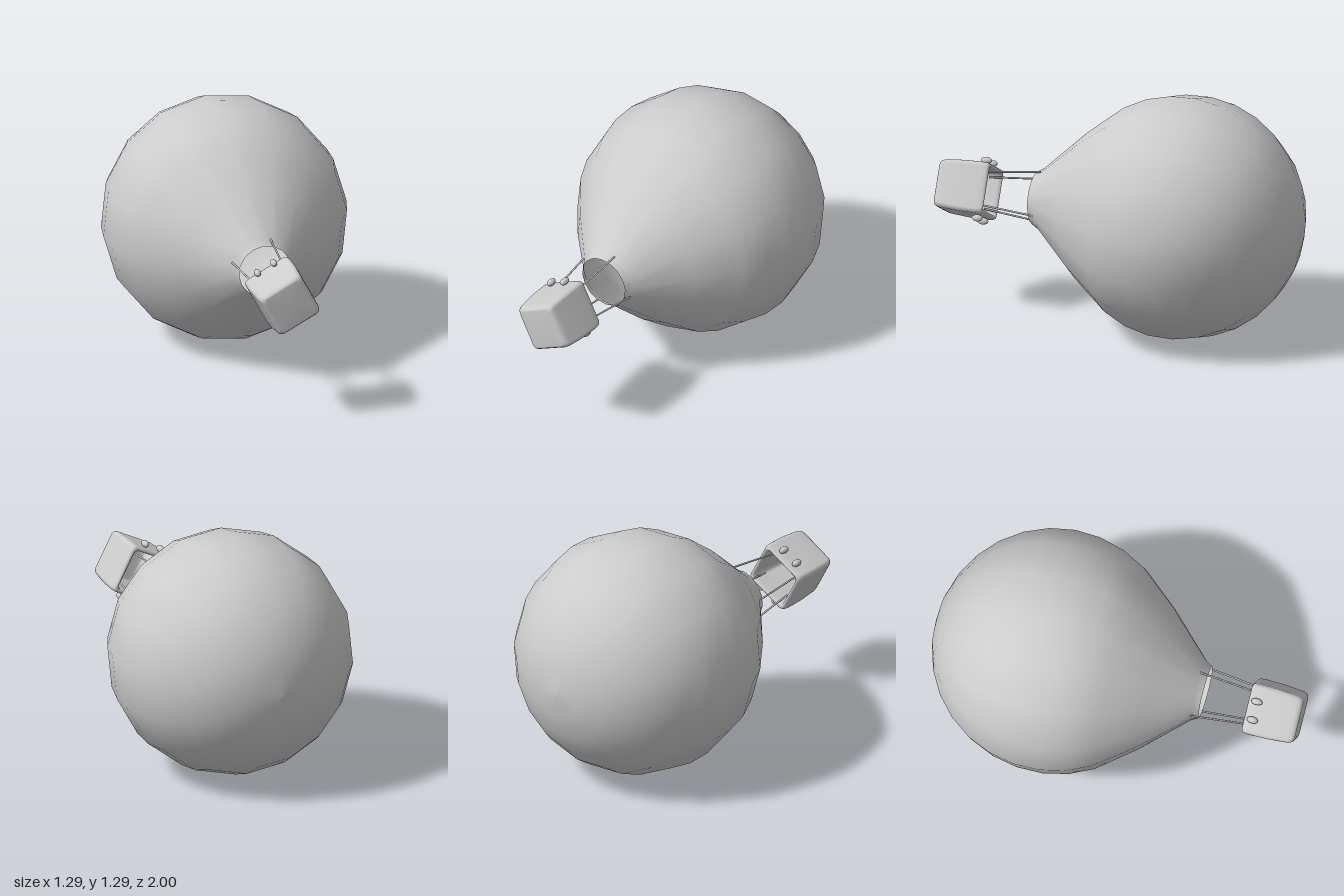
import * as THREE from 'three';

const grey = new THREE.MeshStandardMaterial({ color: 0xcccccc, side: THREE.DoubleSide });

function addMesh(parent, name, geometry) {
  const mesh = new THREE.Mesh(geometry, grey);
  mesh.name = name;
  parent.add(mesh);
  return mesh;
}

// Rounded square ring, counter-clockwise about +z
function squareRing(z, half) {
  const c = Math.min(0.024, half * 0.5), steps = 4, ring = [];
  for (let q = 0; q < 4; q++) {
    const mid = Math.PI / 4 + q * Math.PI / 2;
    const cx = Math.sign(Math.cos(mid)) * (half - c);
    const cy = Math.sign(Math.sin(mid)) * (half - c);
    for (let s = 0; s <= steps; s++) {
      const a = (q + s / steps) * Math.PI / 2;
      ring.push([cx + c * Math.cos(a), cy + c * Math.sin(a), z]);
    }
  }
  return ring;
}

// Skin a list of rings of equal length
function loft(rings) {
  const n = rings[0].length, index = [];
  for (let k = 0; k < rings.length - 1; k++) {
    for (let i = 0; i < n; i++) {
      const p = k * n + i, p2 = k * n + (i + 1) % n;
      index.push(p, p + n, p2, p2, p + n, p2 + n);
    }
  }
  const g = new THREE.BufferGeometry();
  g.setAttribute('position', new THREE.Float32BufferAttribute(rings.flat(2), 3));
  g.setIndex(index);
  g.computeVertexNormals();
  return g;
}

// Sixteen-sided envelope: spherical crown running into a cone and an open mouth
function envelopeGeometry() {
  const R = 0.652, centre = -0.348, profile = [];
  const last = Math.PI / 2 + Math.asin(-centre / R);
  for (let i = 0; i <= 10; i++) {
    const a = last * i / 10;
    profile.push(new THREE.Vector2(R * Math.sin(a), centre - R * Math.cos(a)));
  }
  for (const [r, z] of [[0.39, 0.2], [0.165, 0.435], [0.142, 0.475]]) {
    profile.push(new THREE.Vector2(r, z));
  }
  const g = new THREE.LatheGeometry(profile, 16);
  g.rotateX(Math.PI / 2);
  g.rotateZ(0.0925);
  // Drift the mouth slightly towards the basket axis
  const pos = g.attributes.position;
  for (let i = 0; i < pos.count; i++) {
    const t = Math.max(0, (pos.getZ(i) - centre) / 0.82);
    pos.setX(i, pos.getX(i) - 0.012 * t);
    pos.setY(i, pos.getY(i) + 0.006 * t);
  }
  return g;
}

export function createModel() {
  const model = new THREE.Group();
  model.name = 'hotAirBalloon';
  const body = new THREE.Group();
  body.name = 'balloon';
  body.position.y = 0.652;
  model.add(body);

  addMesh(body, 'envelope', envelopeGeometry());

  // Basket with its ropes and ballast, turned about the long axis
  const gondola = new THREE.Group();
  gondola.name = 'gondola';
  gondola.position.set(-0.02, 0.008, 0);
  gondola.rotation.z = 0.488;
  body.add(gondola);

  // Outside from floor to rim, then down the inside
  const section = [
    [1, 0], [1, 0.105], [0.996, 0.115], [0.985, 0.123], [0.965, 0.128], [0.86, 0.136],
    [0.76, 0.137], [0.732, 0.135], [0.721, 0.13], [0.718, 0.122], [0.723, 0.115],
    [0.74, 0.111], [0.85, 0.11], [0.95, 0.104], [0.965, 0.095], [0.968, 0],
  ];
  addMesh(gondola, 'basket', loft(section.map(([z, half]) => squareRing(z, half))));

  // Ropes from the basket corners to the mouth
  for (const sx of [-1, 1]) {
    for (const sy of [-1, 1]) {
      const path = new THREE.LineCurve3(
        new THREE.Vector3(sx * 0.085, sy * 0.085, 0.78),
        new THREE.Vector3(sx * 0.118, sy * 0.118, 0.435));
      addMesh(gondola, 'rope', new THREE.TubeGeometry(path, 1, 0.005, 8));
    }
  }

  // Ballast bags on two opposite sides
  for (const sx of [-1, 1]) {
    for (const sy of [-1, 1]) {
      const bag = addMesh(gondola, 'ballastBag', new THREE.SphereGeometry(0.018, 16, 12));
      bag.scale.z = 1.7;
      bag.position.set(sx * 0.05, sy * 0.155, 0.765);
    }
  }
  return model;
}
